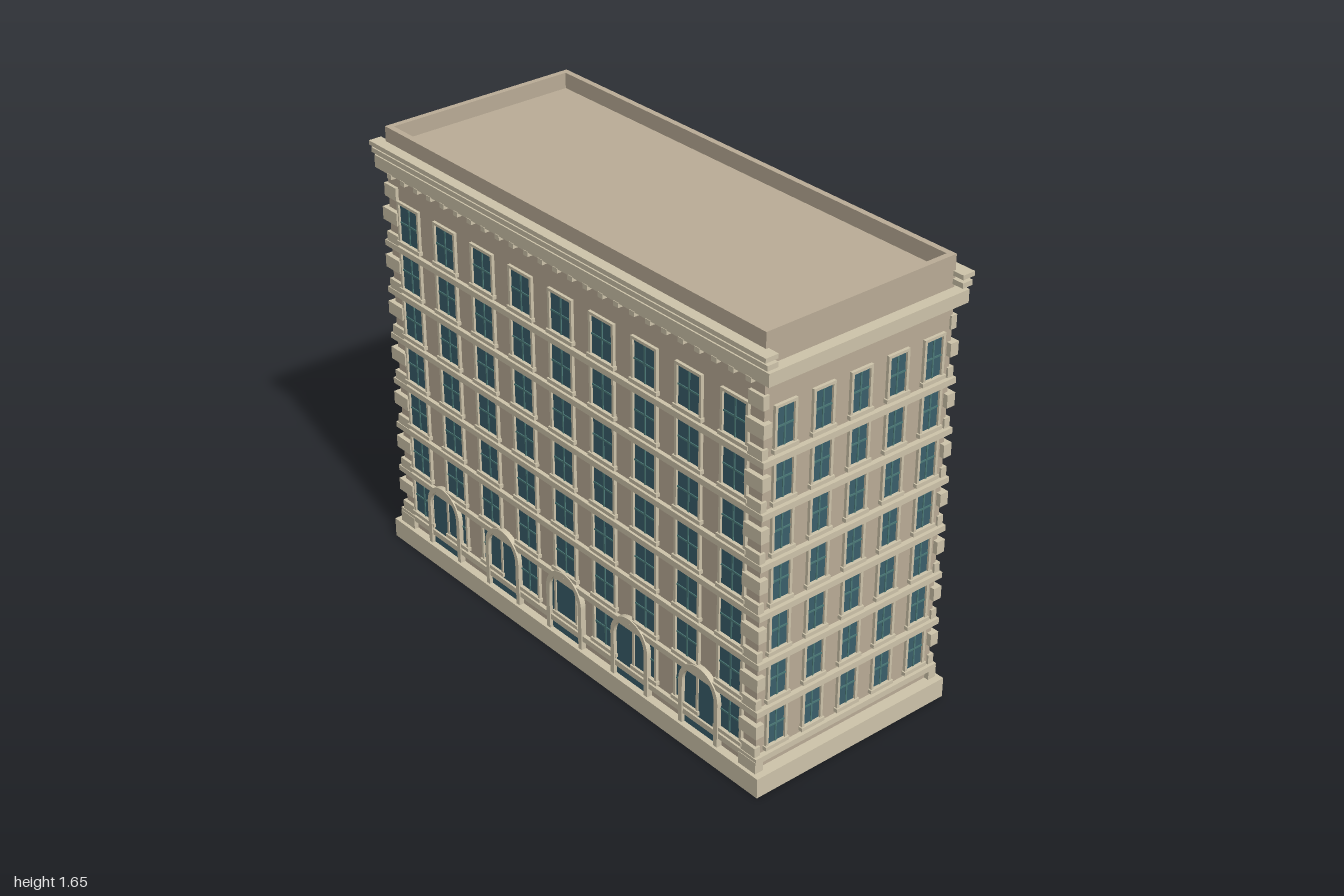
import * as THREE from 'three';
import { mergeGeometries } from 'three/addons/utils/BufferGeometryUtils.js';

const stone = new THREE.MeshStandardMaterial({ color: 0xbbad97 });
const trim = new THREE.MeshStandardMaterial({ color: 0xcfc5ab });
const glass = new THREE.MeshStandardMaterial({ color: 0x3a5f6b });
const bars = new THREE.MeshStandardMaterial({ color: 0x4c7a78 });

const W = 0.957, D = 0.39;          // half width and half depth of the walls
const FLOORS = 7, STOREY = 0.183;

// Box given by its limits on each axis
function box(x0, x1, y0, y1, z0, z1) {
  return new THREE.BoxGeometry(x1 - x0, y1 - y0, z1 - z0)
    .translate((x0 + x1) / 2, (y0 + y1) / 2, (z0 + z1) / 2);
}

function part(name, material, geometries) {
  const mesh = new THREE.Mesh(mergeGeometries(geometries), material);
  mesh.name = name;
  return mesh;
}

// Grid of windows on a wall lying at z = 0 and facing +z
function windowWall(name, columns, spacing, width) {
  const panes = [], muntins = [], surrounds = [];
  const h = 0.07, w = width / 2;
  for (let f = 0; f < FLOORS; f++) {
    const y = 0.225 + f * STOREY;
    for (let c = 0; c < columns; c++) {
      const x = (c - (columns - 1) / 2) * spacing;
      panes.push(box(x - w, x + w, y - h, y + h, -0.005, 0.003));
      muntins.push(
        box(x - 0.003, x + 0.003, y - h, y + h, 0, 0.006),
        box(x - w, x + w, y - 0.003, y + 0.003, 0, 0.006));
      for (const s of [-1, 1]) {
        const jamb = x + s * (w + 0.004);
        surrounds.push(box(jamb - 0.005, jamb + 0.005, y - h, y + h, -0.005, 0.011));
      }
      surrounds.push(
        box(x - w - 0.009, x + w + 0.009, y + h - 0.002, y + h + 0.008, -0.005, 0.011),
        box(x - w - 0.014, x + w + 0.014, y - h - 0.014, y - h, -0.005, 0.016));
    }
  }
  const wall = new THREE.Group();
  wall.name = name;
  wall.add(
    part('windowPanes', glass, panes),
    part('windowBars', bars, muntins),
    part('windowSurrounds', trim, surrounds));
  return wall;
}

// Round-headed outline standing on the plinth
function archOutline(shape, r, bottom, spring) {
  shape.moveTo(-r, bottom);
  shape.lineTo(r, bottom);
  shape.lineTo(r, spring);
  shape.absarc(0, spring, r, 0, Math.PI, false);
  shape.lineTo(-r, bottom);
  return shape;
}

// Ground floor arches with glazing
function arcade() {
  const frames = [], panes = [];
  const spring = 0.242, bottom = 0.07;
  const frame = new THREE.Shape();
  frame.moveTo(0.096, bottom);
  frame.lineTo(0.096, spring);
  frame.absarc(0, spring, 0.096, 0, Math.PI, false);
  frame.lineTo(-0.096, bottom);
  frame.lineTo(-0.078, bottom);
  frame.lineTo(-0.078, spring);
  frame.absarc(0, spring, 0.078, Math.PI, 0, true);
  frame.lineTo(0.078, bottom);
  frame.closePath();
  const pane = archOutline(new THREE.Shape(), 0.082, bottom, spring);
  for (let i = -2; i <= 2; i++) {
    const opts = { bevelEnabled: false, curveSegments: 16 };
    frames.push(new THREE.ExtrudeGeometry(frame, { ...opts, depth: 0.025 }).translate(i * 0.349, 0, D - 0.005));
    panes.push(new THREE.ExtrudeGeometry(pane, { ...opts, depth: 0.012 }).translate(i * 0.349, 0, D - 0.005));
  }
  const group = new THREE.Group();
  group.name = 'groundFloorArches';
  group.add(part('archFrames', trim, frames), part('archGlass', glass, panes));
  return group;
}

export function createModel() {
  const model = new THREE.Group();
  model.name = 'officeBuilding';

  // Main mass and plinth
  model.add(part('plinth', trim, [box(-1, 1, 0, 0.075, -0.42, 0.42)]));
  model.add(part('walls', stone, [box(-W, W, 0.07, 1.597, -D, D)]));

  // Parapet around the flat roof
  const t = 0.022, p0 = 1.59, p1 = 1.655;
  model.add(part('parapet', stone, [
    box(-W, W, p0, p1, D - t, D), box(-W, W, p0, p1, -D, -D + t),
    box(-W, -W + t, p0, p1, -D + t, D - t), box(W - t, W, p0, p1, -D + t, D - t)]));

  // String course under every row of windows
  const courses = [];
  for (let f = 0; f < FLOORS; f++) {
    const y = 0.12 + f * STOREY;
    courses.push(box(-0.976, 0.976, y - 0.011, y + 0.011, -0.405, 0.405));
  }
  model.add(part('stringCourses', trim, courses));

  // Cornice: a band all round, with two stepped ledges and dentils on the long sides
  const cornice = [box(-0.998, 0.998, 1.497, 1.543, -0.413, 0.413)];
  const dentils = [];
  for (const s of [-1, 1]) {
    const ledge = (y0, y1, z) => cornice.push(
      box(-1, 1, y0, y1, s > 0 ? D - 0.01 : -z, s > 0 ? z : -D + 0.01));
    ledge(1.555, 1.573, 0.422);
    ledge(1.584, 1.6, 0.43);
    for (let i = -12; i <= 12; i++) {
      const x = i * 0.076, z = s * 0.4;
      dentils.push(box(x - 0.012, x + 0.012, 1.482, 1.5, z - 0.015, z + 0.015));
    }
  }
  model.add(part('cornice', trim, cornice), part('dentils', trim, dentils));

  // Quoins at the four corners, alternately long and short
  const quoins = [];
  for (const sx of [-1, 1]) for (const sz of [-1, 1]) {
    for (let k = 0; k < 16; k++) {
      const y = Math.max(1.4235 - k * STOREY / 2, 0.095);
      const out = k % 2 ? 0.975 : 0.965, inner = k % 2 ? 0.893 : 0.898;
      const x = sx * (out + inner) / 2, w = (out - inner) / 2;
      const z = sz * 0.39, d = k % 2 ? 0.017 : 0.012;
      quoins.push(box(x - w, x + w, y - 0.024, y + 0.024, z - d, z + d));
    }
  }
  model.add(part('quoins', trim, quoins));

  // Windows on all four sides
  for (const [name, turn, columns, spacing, width, dist] of [
    ['frontWindows', 0, 9, 0.209, 0.106, D],
    ['backWindows', Math.PI, 9, 0.209, 0.106, D],
    ['leftWindows', Math.PI / 2, 5, 0.155, 0.072, W],
    ['rightWindows', -Math.PI / 2, 5, 0.155, 0.072, W]]) {
    const wall = windowWall(name, columns, spacing, width);
    wall.rotation.y = turn;
    wall.position.set(Math.sin(turn) * dist, 0, Math.cos(turn) * dist);
    model.add(wall);
  }

  model.add(arcade());
  return model;
}
